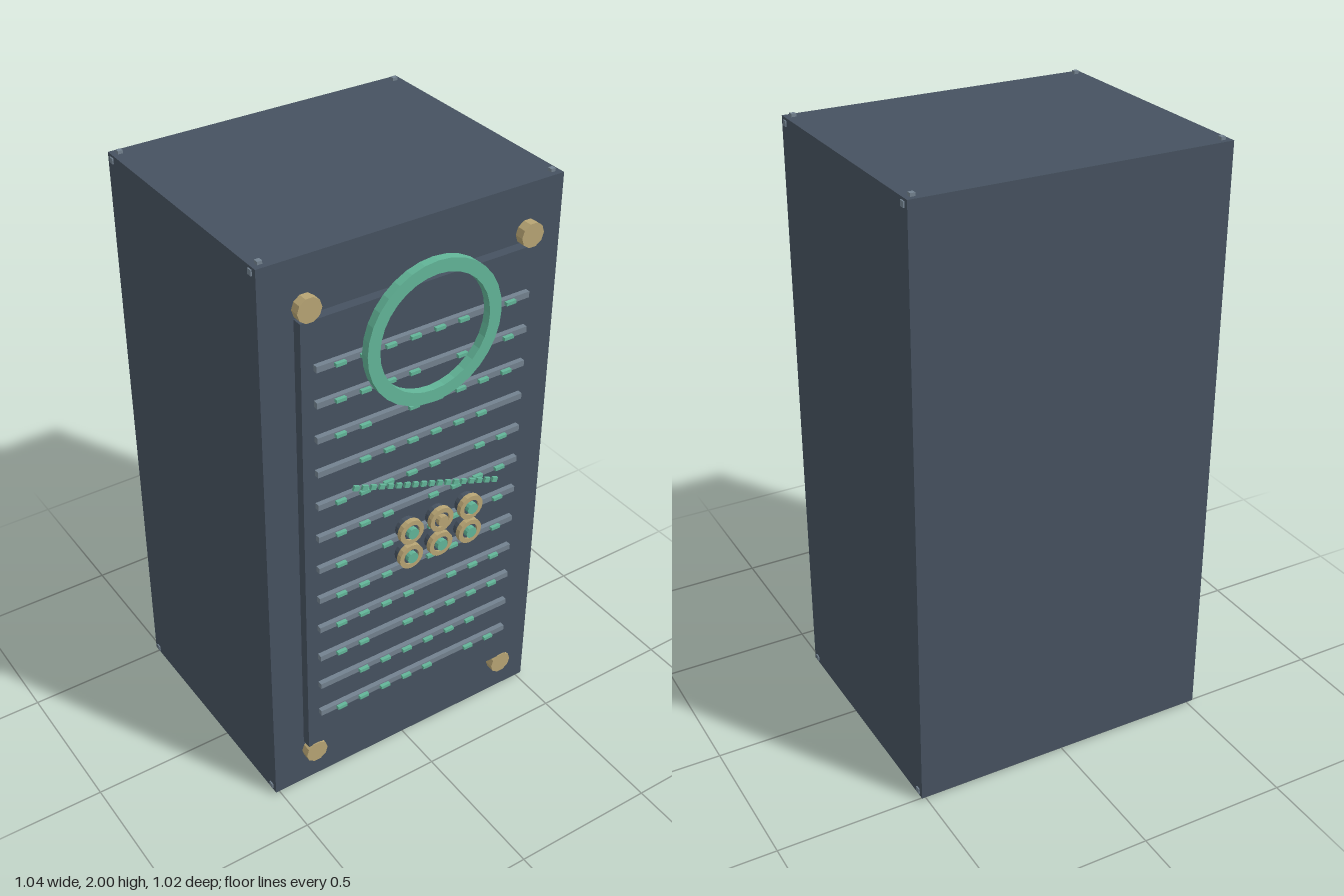
import * as THREE from 'three';

const mat = (name, color, flatShading = true) => {
  const m = new THREE.MeshStandardMaterial({ color, flatShading });
  m.name = name;
  return m;
};

export function createModel() {
  const slate = mat('dark slate', 0x465260);
  const grey = mat('shelf grey', 0x73828f);
  const green = mat('mint green', 0x62b598);
  const brass = mat('brass', 0xb8a574);

  const model = new THREE.Group();
  model.name = 'cabinet';

  const add = (name, geo, material, x, y, z, parent = model) => {
    const mesh = new THREE.Mesh(geo, material);
    mesh.name = name;
    mesh.position.set(x, y, z);
    parent.add(mesh);
    return mesh;
  };
  const box = (w, h, d) => new THREE.BoxGeometry(w, h, d);
  // Disc and flat ring whose axis points to the front
  const disc = (r, d, n) => new THREE.CylinderGeometry(r, r, d, n).rotateX(Math.PI / 2);
  const ring = (inner, outer, d, n) => {
    const h = d / 2;
    const profile = [[inner, -h], [outer, -h], [outer, h], [inner, h], [inner, -h]]
      .map(([r, y]) => new THREE.Vector2(r, y));
    return new THREE.LatheGeometry(profile, n).rotateX(Math.PI / 2);
  };

  // Cabinet body and front panel
  add('body', box(1.034, 1.98, 0.846), slate, 0, 1, -0.09);
  add('frontPanel', box(0.82, 1.61, 0.032), slate, 0, 1.005, 0.358);

  // Small studs near the corners of the sides, top and bottom
  for (const sx of [-1, 1]) for (const sy of [-1, 1]) for (const z of [-0.488, 0.307]) {
    add('sideStud', box(0.012, 0.018, 0.018), grey, sx * 0.515, 1 + sy * 0.973, z);
    add('capStud', box(0.016, 0.02, 0.016), grey, sx * 0.492, 1 + sy * 0.99, z);
  }

  // Corner bolts of the panel
  for (const x of [-0.38, 0.38]) for (const y of [0.165, 1.845]) {
    const bolt = disc(0.04, 0.03, 10).rotateZ(Math.PI / 10);
    add('cornerBolt', bolt, brass, x, y, 0.362);
  }

  // Shelf bars with indicator lights
  const barGeo = box(0.74, 0.02, 0.018);
  const lightGeo = box(0.034, 0.011, 0.014);
  for (let r = 0; r < 12; r++) {
    const y = 1.66 - r * 0.1195;
    add('shelfBar', barGeo, grey, 0, y, 0.382);
    for (let i = 0; i < 8; i++) {
      if ((r * 3 + i * 5) % 7 === 2) continue;
      add('indicatorLight', lightGeo, green, (i - 3.5) * 0.0845, y, 0.396);
    }
  }

  // Large ring
  add('largeRing', ring(0.19, 0.232, 0.028, 32), green, 0, 1.675, 0.421);

  // Slanted row of beads
  const beads = 18;
  const beadGeo = box(0.02, 0.016, 0.009);
  for (let i = 0; i < beads; i++) {
    const t = i / (beads - 1);
    const bead = add('bead', beadGeo, green, -0.255 + 0.52 * t, 1.223 - 0.183 * t, 0.414);
    bead.rotation.z = -0.34;
  }

  // Two rows of knobs
  const baseGeo = disc(0.036, 0.032, 16);
  const rimGeo = ring(0.027, 0.043, 0.017, 16);
  const centreGeo = disc(0.019, 0.02, 12);
  [1.05, 0.957].forEach((y, row) => [-0.11, 0, 0.11].forEach((x, col) => {
    const knob = new THREE.Group();
    knob.name = 'knob';
    knob.position.set(x, y, 0);
    add('knobBase', baseGeo, slate, 0, 0, 0.477, knob);
    add('knobRim', rimGeo, brass, 0, 0, 0.4915, knob);
    add('knobCentre', centreGeo, row === 0 && col === 1 ? brass : green, 0, 0, 0.498, knob);
    model.add(knob);
  }));

  return model;
}
